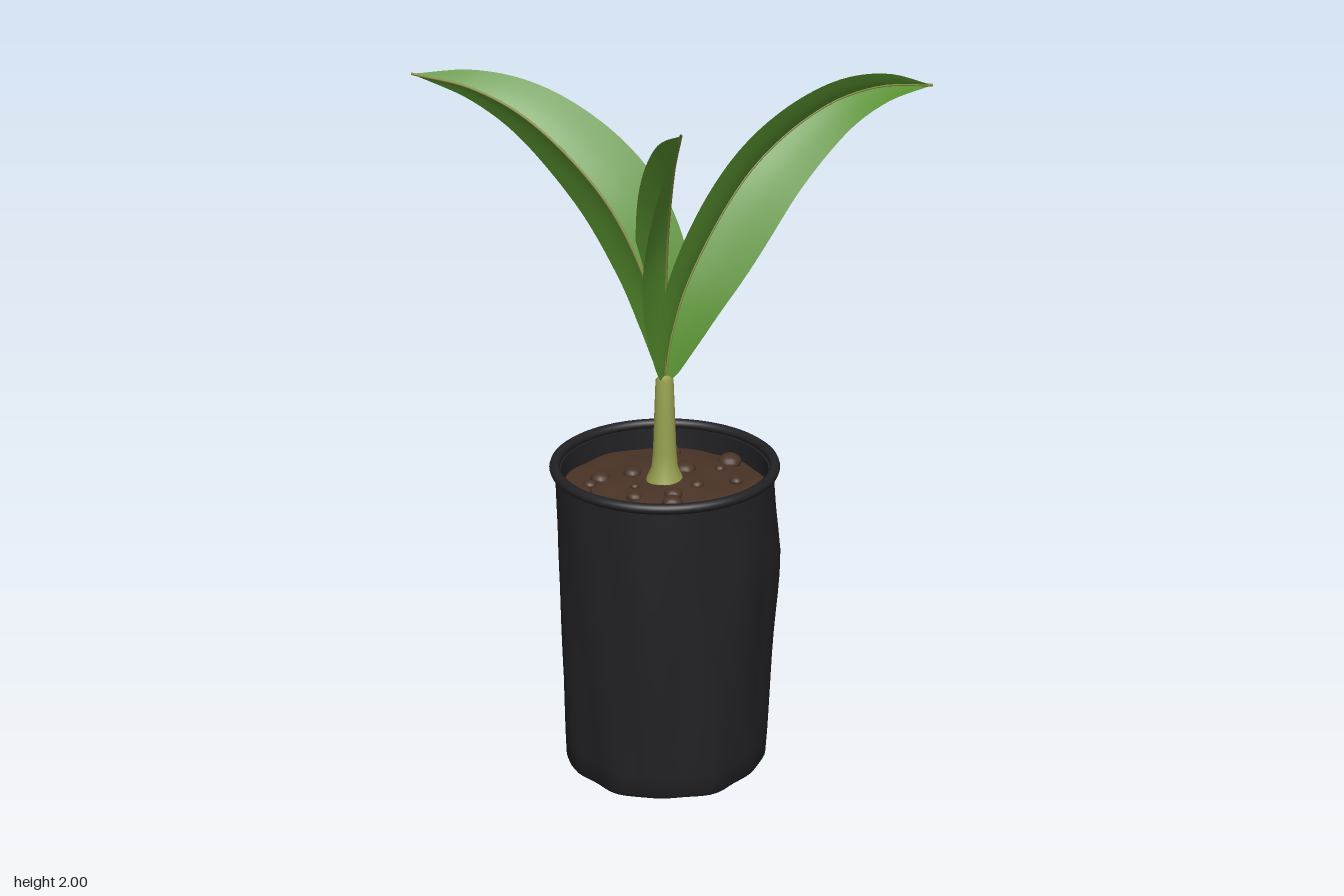
import * as THREE from 'three';
import { toCreasedNormals } from 'three/addons/utils/BufferGeometryUtils.js';

const V2 = (x, y) => new THREE.Vector2(x, y);
const paint = (color) => new THREE.MeshStandardMaterial({ color, side: THREE.DoubleSide });

function addMesh(parent, name, geometry, material) {
  const mesh = new THREE.Mesh(geometry, material);
  mesh.name = name;
  parent.add(mesh);
  return mesh;
}

// Soft nursery pot: a turned wall, dented and bulged by a rule
function potGeometry() {
  const profile = [V2(0, 0.004), V2(0.15, 0.002), V2(0.278, 0), V2(0.286, 0.012)];
  for (let i = 1; i <= 14; i++) {
    const t = i / 14;
    profile.push(V2(0.287 + 0.02 * Math.sin(t * Math.PI * 0.55), 0.012 + t * 0.888));
  }
  profile.push(V2(0.29, 0.9), V2(0.287, 0.8));
  const geo = new THREE.LatheGeometry(profile, 72);
  const p = geo.attributes.position;
  for (let i = 0; i < p.count; i++) {
    const x = p.getX(i), y = p.getY(i), z = p.getZ(i), r = Math.hypot(x, z);
    if (r < 0.2) continue;
    const a = Math.atan2(z, x);
    const loose = THREE.MathUtils.clamp((0.9 - y) * 4, 0, 1);
    const bulge = 0.02 * Math.exp(-(((y - 0.64) / 0.2) ** 2)) * Math.max(0, Math.cos(a)) ** 3;
    const folds = 0.005 * Math.sin(7 * a + 3 * y) + 0.003 * Math.sin(12 * a - 4 * y + 1);
    const k = 1 + (loose * (bulge + folds)) / r;
    p.setXYZ(i, x * k, y, z * k);
  }
  return toCreasedNormals(geo, 0.7);
}

// Gently domed, uneven soil
function soilGeometry() {
  const profile = [];
  for (let i = 0; i <= 10; i++) profile.push(V2(0.29 * (1 - i / 10), 0.84 + 0.03 * Math.sin((i / 10) * Math.PI / 2)));
  const geo = new THREE.LatheGeometry(profile, 48);
  const p = geo.attributes.position;
  for (let i = 0; i < p.count; i++) {
    const x = p.getX(i), z = p.getZ(i);
    p.setY(i, p.getY(i) + 0.005 * Math.sin(x * 31) * Math.cos(z * 27));
  }
  geo.computeVertexNormals();
  return geo;
}

// Folded blade: each cross-section is a V that opens sideways from the midrib
function leafGeometry(curve, width, side) {
  const rows = 40, cols = 8, fold = 0.56, pos = [], index = [];
  for (let i = 0; i <= rows; i++) {
    const t = i / rows;
    const c = curve.getPointAt(t), d = curve.getTangentAt(t);
    const n = new THREE.Vector3().crossVectors(side, d).normalize();
    if (n.y < 0) n.negate();
    const w = width * Math.sin(Math.PI * Math.pow(t, 0.8)) + 0.014 * (1 - t);
    for (let j = 0; j <= cols; j++) {
      const s = (j / cols) * 2 - 1, u = Math.abs(s);
      const q = c.clone().addScaledVector(n, s * w * Math.cos(fold))
        .addScaledVector(side, w * Math.sin(fold) * Math.pow(u, 0.85));
      pos.push(q.x, q.y, q.z);
    }
  }
  for (let i = 0; i < rows; i++) {
    for (let j = 0; j < cols; j++) {
      const a = i * (cols + 1) + j, b = a + cols + 1;
      index.push(a, a + 1, b, b, a + 1, b + 1);
    }
  }
  const geo = new THREE.BufferGeometry();
  geo.setAttribute('position', new THREE.Float32BufferAttribute(pos, 3));
  geo.setIndex(index);
  geo.computeVertexNormals();
  return toCreasedNormals(geo, 0.6);
}

export function createModel() {
  const model = new THREE.Group();
  model.name = 'pottedSeedling';
  const plant = new THREE.Group();
  plant.name = 'pottedPlant';
  plant.position.set(-0.043, 0, -0.035);
  model.add(plant);

  const black = paint(0x222225), earth = paint(0x4a3426);
  const green = paint(0x5a9430), ribColor = paint(0x8a8f45), stemColor = paint(0x98a050);

  // Pot and rolled rim
  addMesh(plant, 'pot', potGeometry(), black);
  const rim = addMesh(plant, 'potRim', new THREE.TorusGeometry(0.308, 0.015, 10, 72), black);
  rim.rotation.x = Math.PI / 2;
  rim.position.y = 0.909;

  // Soil with scattered clods: x, z, radius
  addMesh(plant, 'soil', soilGeometry(), earth);
  const clods = [
    [0.02, -0.215, 0.034], [0.19, -0.155, 0.036], [0.06, -0.07, 0.03], [0.16, -0.085, 0.017],
    [0.2, 0, 0.02], [-0.18, -0.025, 0.029], [-0.23, 0.058, 0.03], [-0.21, 0.012, 0.019],
    [-0.087, 0.115, 0.023], [-0.173, 0.128, 0.02], [0.016, 0.155, 0.029], [0.02, 0.105, 0.025],
    [0.035, 0.198, 0.017], [-0.085, 0.05, 0.014], [-0.09, -0.045, 0.025], [0.09, 0.045, 0.02],
  ];
  const clodGeo = new THREE.SphereGeometry(1, 14, 10);
  clods.forEach(([x, z, r], i) => {
    const clod = addMesh(plant, 'soilClod', clodGeo, earth);
    const fall = Math.hypot(x, z) / 0.29;
    clod.position.set(x, 0.87 - 0.025 * fall * fall, z);
    clod.scale.set(r, r * 0.65, r * (0.85 + 0.1 * (i % 3)));
    clod.rotation.y = i * 1.3;
  });

  // Stem, flared at the foot
  const stemProfile = [V2(0.055, 0.85), V2(0.05, 0.875), V2(0.037, 0.905), V2(0.033, 0.95),
    V2(0.029, 1.06), V2(0.025, 1.165), V2(0.015, 1.175), V2(0, 1.178)];
  addMesh(plant, 'stem', new THREE.LatheGeometry(stemProfile, 20), stemColor);

  // Leaves: heading as x,z, blade half width, midrib as reach and height
  const leaves = [
    { name: 'leftLeaf', dir: [0.885, -0.465], width: 0.14,
      rib: [[0, 1.16], [0.025, 1.3], [0.085, 1.46], [0.277, 1.73], [0.5, 1.87], [0.68, 1.905], [0.865, 1.885]] },
    { name: 'rightLeaf', dir: [-0.918, -0.395], width: 0.14,
      rib: [[0, 1.16], [0.02, 1.31], [0.065, 1.47], [0.18, 1.67], [0.39, 1.86], [0.56, 1.935], [0.746, 1.96]] },
    { name: 'frontLeaf', dir: [0.998, 0.06].reverse(), width: 0.132,
      rib: [[0, 1.16], [0.022, 1.35], [0.075, 1.55], [0.135, 1.665], [0.278, 1.845], [0.476, 2]] },
  ];
  for (const { name, dir: [dx, dz], width, rib } of leaves) {
    const leaf = new THREE.Group();
    leaf.name = name;
    plant.add(leaf);
    const curve = new THREE.CatmullRomCurve3(rib.map(([r, y]) => new THREE.Vector3(r * dx, y, r * dz)));
    const side = new THREE.Vector3(-dz, 0, dx);
    addMesh(leaf, 'leafBlade', leafGeometry(curve, width, side), green);
    addMesh(leaf, 'leafMidrib', new THREE.TubeGeometry(curve, 48, 0.004, 6), ribColor);
  }
  return model;
}
